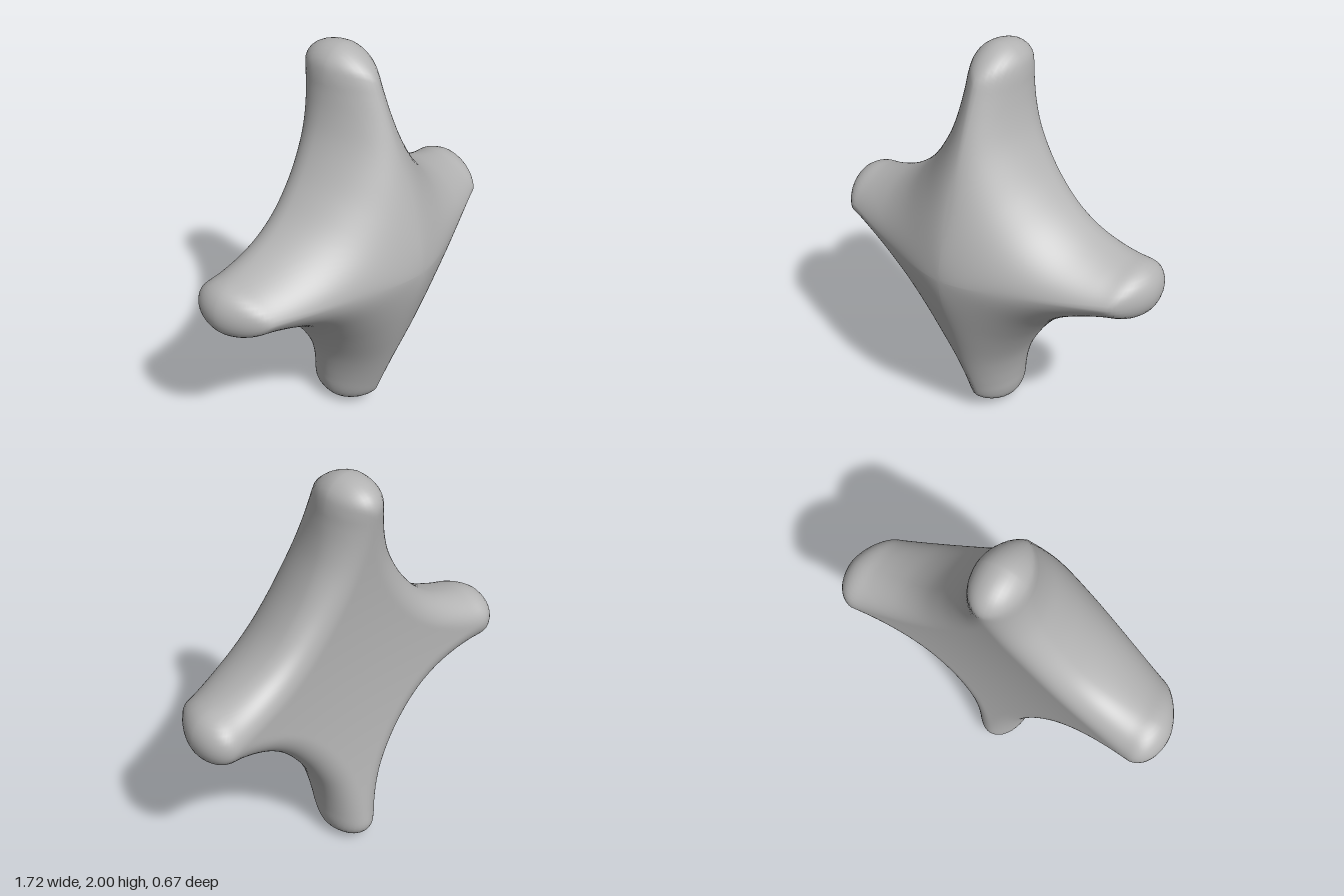
import * as THREE from 'three';

// One quarter of the star outline, from the side tip round to the top tip
const QUARTER = [
  [0.86, 0], [0.85, 0.055], [0.82, 0.1], [0.775, 0.125], [0.7, 0.138], [0.6, 0.168], [0.5, 0.215],
  [0.4, 0.29], [0.3, 0.405], [0.23, 0.515], [0.18, 0.62], [0.15, 0.72], [0.132, 0.82], [0.125, 0.88],
  [0.108, 0.94], [0.06, 0.985], [0, 1],
];
const SEGMENTS = 256, RINGS = 40, EDGE_Z = -0.15;

// Mirror the quarter into a closed, smooth outline (counterclockwise)
function makeOutline() {
  const half = [...QUARTER, ...QUARTER.slice(0, -1).reverse().map(([x, y]) => [-x, y])];
  const full = [...half, ...half.slice(1, -1).reverse().map(([x, y]) => [x, -y])];
  const curve = new THREE.CatmullRomCurve3(full.map(([x, y]) => new THREE.Vector3(x, y, 0)), true);
  return curve.getSpacedPoints(SEGMENTS).slice(0, SEGMENTS);
}

// Shortest distance from a point to the outline
function edgeDistance(outline, x, y) {
  let best = Infinity;
  for (let i = 0; i < SEGMENTS; i++) {
    const a = outline[i], b = outline[(i + 1) % SEGMENTS];
    const dx = b.x - a.x, dy = b.y - a.y;
    const t = THREE.MathUtils.clamp(((x - a.x) * dx + (y - a.y) * dy) / (dx * dx + dy * dy), 0, 1);
    best = Math.min(best, Math.hypot(x - a.x - t * dx, y - a.y - t * dy));
  }
  return best;
}

// Domed front: high in the middle, sloping along each arm and rounding to the edge
function frontZ(r, e) {
  const crest = 0.395 - Math.hypot(0.38 * r, 0.06);
  const halfWidth = 0.125 + 0.365 * Math.exp(-Math.pow(r / 0.38, 1.3));
  const t = Math.min(e / halfWidth, 1);
  return EDGE_Z + (crest - EDGE_Z) * Math.pow(1 - Math.pow(1 - t, 1.8), 0.55);
}

// Shallow dished back with a rounded rim
function backZ(r, e) {
  const floor = -0.265 - 0.068 * (r / 0.87) ** 2;
  const t = Math.min(e / 0.135, 1);
  return EDGE_Z + (floor - EDGE_Z) * Math.sqrt(1 - (1 - t) ** 2);
}

function makeStarGeometry() {
  const outline = makeOutline();
  const positions = [], index = [];

  // Rings run from the front centre to the shared edge, then to the back centre
  for (let k = 0; k <= 2 * RINGS; k++) {
    const s = Math.sin((k / (2 * RINGS)) * Math.PI);
    const front = k <= RINGS;
    const pole = k === 0 || k === 2 * RINGS;
    for (let i = 0; i < (pole ? 1 : SEGMENTS); i++) {
      const x = pole ? 0 : outline[i].x * s, y = pole ? 0 : outline[i].y * s;
      const e = k === RINGS ? 0 : edgeDistance(outline, x, y);
      const r = Math.hypot(x * 1.08, y);
      positions.push(x, y + 1, front ? frontZ(r, e) : backZ(r, e));
    }
  }

  // Caps at both centres, quads between rings
  const at = (k, i) => 1 + (k - 1) * SEGMENTS + (i % SEGMENTS);
  const last = positions.length / 3 - 1;
  for (let i = 0; i < SEGMENTS; i++) {
    index.push(0, at(1, i), at(1, i + 1));
    index.push(last, at(2 * RINGS - 1, i + 1), at(2 * RINGS - 1, i));
    for (let k = 1; k < 2 * RINGS - 1; k++) {
      const a = at(k, i), b = at(k + 1, i), c = at(k + 1, i + 1), d = at(k, i + 1);
      index.push(a, b, c, a, c, d);
    }
  }
  const geometry = new THREE.BufferGeometry();
  geometry.setAttribute('position', new THREE.Float32BufferAttribute(positions, 3));
  geometry.setIndex(index);
  geometry.computeVertexNormals();
  return geometry;
}

export function createModel() {
  const group = new THREE.Group();
  group.name = 'fourPointStar';
  const grey = new THREE.MeshStandardMaterial({ color: 0xb4b4b4 });
  grey.name = 'plain grey';
  const body = new THREE.Mesh(makeStarGeometry(), grey);
  body.name = 'starBody';
  group.add(body);
  return group;
}
